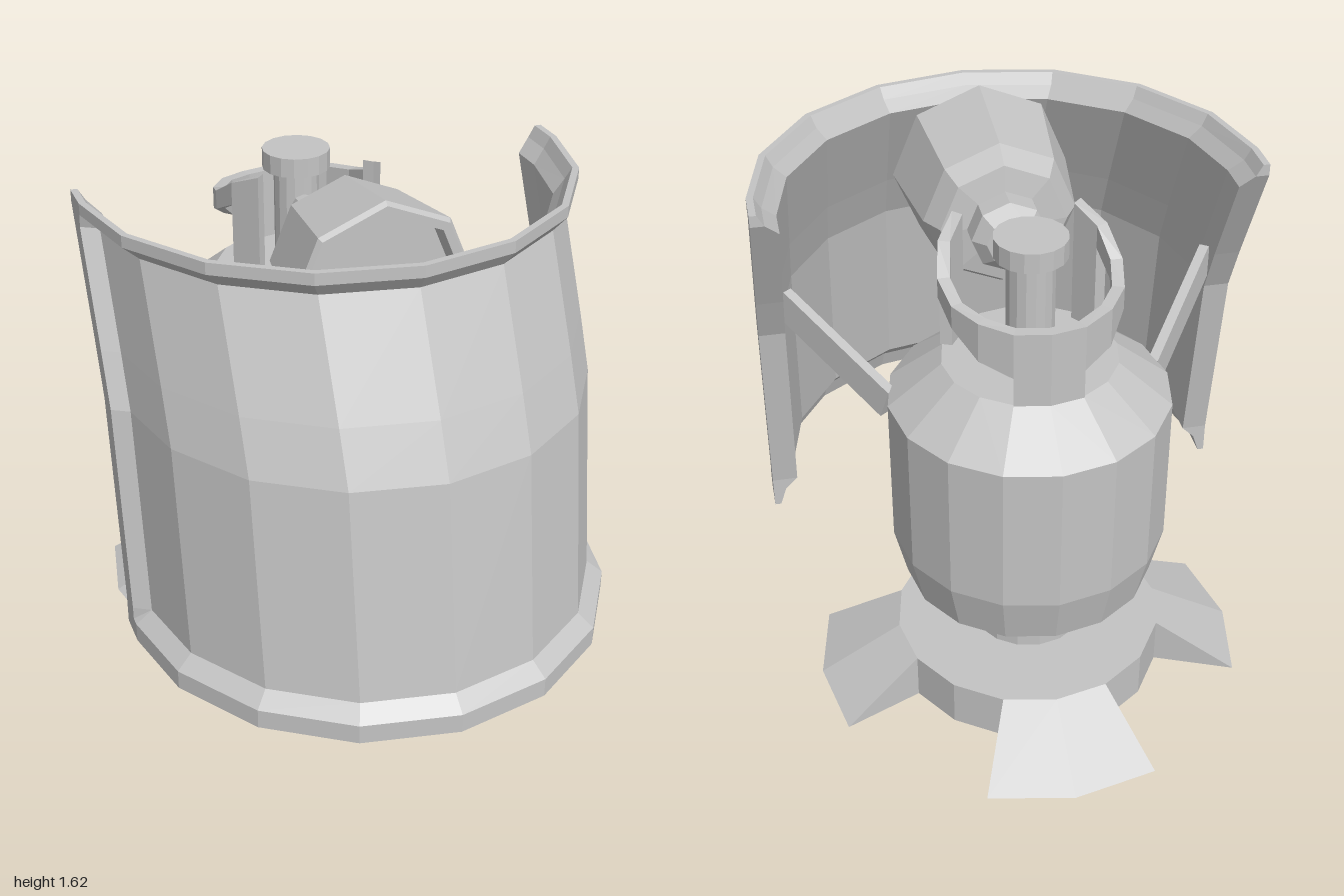
import * as THREE from 'three';

const steel = new THREE.MeshStandardMaterial({ color: 0xc4c4c4, flatShading: true });
steel.name = 'grey steel';

const STEP = Math.PI / 8; // everything round has 16 sides
const TANK_Z = -0.34;

function add(parent, name, geometry, x = 0, y = 0, z = 0) {
  const mesh = new THREE.Mesh(geometry, steel);
  mesh.name = name;
  mesh.position.set(x, y, z);
  parent.add(mesh);
  return mesh;
}

const cylinder = (r, h, sides = 16) => new THREE.CylinderGeometry(r, r, h, sides);
const lathe = (profile, sides) =>
  new THREE.LatheGeometry(profile.map(([r, y]) => new THREE.Vector2(r, y)), sides);
const polar = (r, y, a) => [r * Math.sin(a), y, r * Math.cos(a)];

// Joins closed cross-sections (outer side going up, inner side going down) into a solid
function skin(sections) {
  const n = sections[0].length, last = (sections.length - 1) * n;
  const index = [];
  const quad = (a, b, c, d) => {
    if (b !== c) index.push(a, b, c);
    index.push(a, c, d);
  };
  for (let j = 0; j < last; j += n)
    for (let i = 0; i < n; i++) {
      const k = (i + 1) % n;
      quad(j + i, j + n + i, j + n + k, j + k);
    }
  for (let i = 0; i < n / 2 - 1; i++) {
    const a = i, b = i + 1, c = n - 2 - i, d = n - 1 - i;
    quad(a, b, c, d);
    if (b !== c) index.push(last + a, last + c, last + b);
    index.push(last + a, last + d, last + c);
  }
  const geometry = new THREE.BufferGeometry();
  geometry.setAttribute('position', new THREE.Float32BufferAttribute(sections.flat(2), 3));
  geometry.setIndex(index);
  geometry.computeVertexNormals();
  return geometry;
}

// Curved wall between two angle steps; low(s) and high(s) give its bottom and top
function curvedWall(from, to, low, high, outer = 0.26, inner = 0.225) {
  const sections = [];
  for (let s = from; s <= to; s++) {
    const a = s * STEP;
    sections.push([polar(outer, low(s), a), polar(outer, high(s), a),
      polar(inner, high(s), a), polar(inner, low(s), a)]);
  }
  return skin(sections);
}

// Curved reflector: an arc that leans back with height, with a flared lip all round
function shieldGeometry() {
  // y, arc centre z, outer radius, inner radius
  const rows = [
    [0.27, 0.26, 0.74, 0.72], [0.33, 0.26, 0.74, 0.70], [0.37, 0.26, 0.69, 0.66],
    [1.0, 0.165, 0.69, 0.66], [1.155, 0.095, 0.69, 0.66], [1.47, -0.06, 0.69, 0.66],
    [1.51, -0.08, 0.74, 0.70], [1.545, -0.08, 0.74, 0.72],
  ];
  const section = (outer, inner) => [
    ...rows.map(([y, c, r]) => { const [x, z] = outer(r); return [x, y, c + z]; }),
    ...rows.map(([y, c, , r]) => { const [x, z] = inner(r); return [x, y, c + z]; }).reverse(),
  ];
  const sideEnd = (side) => [
    section((r) => [side * r, 0.03], (r) => [side * r, 0.03]),
    section(() => [side * 0.74, 0], (r) => [side * r, 0]),
    section(() => [side * 0.74, -0.075], (r) => [side * r, -0.075]),
  ];
  const sections = sideEnd(-1).reverse();
  for (let s = -3; s <= 3; s++) {
    const point = (r) => [r * Math.sin(s * STEP), r * Math.cos(s * STEP)];
    sections.push(section(point, point));
  }
  sections.push(...sideEnd(1));
  return skin(sections);
}

export function createModel() {
  const model = new THREE.Group();
  model.name = 'gasHeater';

  // Base disc with four sloping feet
  const base = new THREE.Group();
  base.name = 'base';
  base.position.z = TANK_Z;
  model.add(base);
  add(base, 'baseDisc', cylinder(0.41, 0.15), 0, 0.075, 0);
  const foot = skin([-1, 0, 1].map((s) =>
    [polar(0.66, 0, s * STEP), polar(0.41, 0.15, s * STEP), polar(0.41, 0, s * STEP)]));
  for (let i = 0; i < 4; i++) add(base, 'foot', foot).rotation.y = i * Math.PI / 2;
  add(base, 'baseStem', cylinder(0.175, 0.1), 0, 0.195, 0);

  // Gas tank
  add(model, 'tank', lathe([[0, 0.24], [0.22, 0.24], [0.375, 0.375], [0.412, 0.53],
    [0.412, 0.995], [0.255, 1.12], [0, 1.12]], 16), 0, 0, TANK_Z);

  // Collar: a band rising to the front, on two front posts and one back post
  const collar = new THREE.Group();
  collar.name = 'collar';
  collar.position.z = TANK_Z;
  model.add(collar);
  const tops = [1.35, 1.35, 1.36, 1.37, 1.40, 1.46, 1.50];
  const bottoms = [1.20, 1.21, 1.24, 1.30, 1.34, 1.39, 1.42];
  const top = (s) => tops[Math.abs(s - 8)];
  const bottom = (s) => bottoms[Math.abs(s - 8)];
  const foothold = () => 1.12;
  add(collar, 'collarBand', curvedWall(2, 14, bottom, top));
  for (const [from, to] of [[2, 3], [7, 9], [13, 14]])
    add(collar, 'collarPost', curvedWall(from, to, foothold, bottom));

  // Valve and gas pipe
  add(model, 'valveStem', cylinder(0.07, 0.34), 0, 1.28, TANK_Z);
  add(model, 'valveKnob', cylinder(0.105, 0.06), 0, 1.475, TANK_Z);
  add(model, 'gasPipe', cylinder(0.037, 0.22, 8), 0, 1.34, -0.19).rotation.x = Math.PI / 2;

  // Burner bell with a recessed front
  add(model, 'burner', lathe([[0, -0.1], [0.075, -0.1], [0.113, -0.065], [0.113, 0.003],
    [0.19, 0.015], [0.23, 0.08], [0.273, 0.385], [0.262, 0.4], [0.235, 0.4],
    [0.225, 0.35], [0, 0.35]], 8), 0, 1.343, 0).rotation.x = Math.PI / 2;

  // Reflector shield and the two struts that hold it
  add(model, 'shield', shieldGeometry());
  for (const side of [-1, 1]) {
    const from = new THREE.Vector3(side * 0.4, 0.947, -0.255);
    const to = new THREE.Vector3(side * 0.655, 1.11, 0.09);
    const strut = add(model, 'strut', new THREE.BoxGeometry(0.03, 0.105, from.distanceTo(to)));
    strut.position.copy(from).lerp(to, 0.5);
    strut.lookAt(to);
  }
  return model;
}
